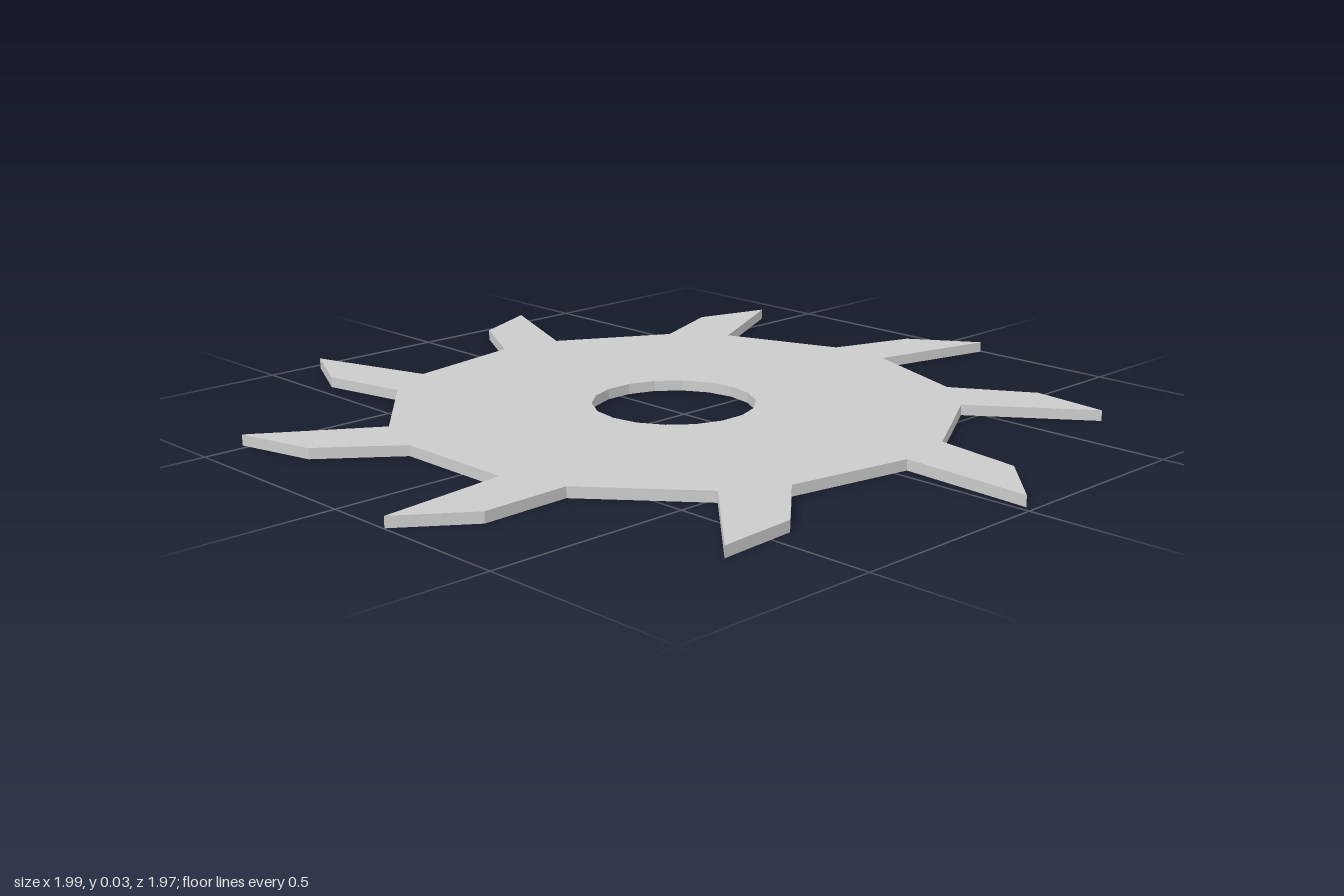
import * as THREE from 'three';

const TEETH = 9;
const THICKNESS = 0.026;
const HOLE_RADIUS = 0.197;
const HOLE_SIDES = 18;

// One tooth around the blade centre: leading root, shoulder, hooked tip, trailing root
const TOOTH = [[0.68, -0.08], [0.89, -0.01], [1.0, 0.155], [0.68, 0.08]];

export function createModel() {
  const group = new THREE.Group();
  group.name = 'circularBlade';

  // Outline: the tooth repeated around the disc, with straight valleys between
  const origin = new THREE.Vector2();
  const outline = [];
  for (let i = 0; i < TEETH; i++) {
    const angle = (i / TEETH) * Math.PI * 2;
    for (const [x, y] of TOOTH) {
      outline.push(new THREE.Vector2(x, y).rotateAround(origin, angle));
    }
  }
  const shape = new THREE.Shape(outline);

  // Faceted arbor hole
  const hole = [];
  for (let i = 0; i < HOLE_SIDES; i++) {
    const angle = -(i / HOLE_SIDES) * Math.PI * 2;
    hole.push(new THREE.Vector2(Math.cos(angle), Math.sin(angle)).multiplyScalar(HOLE_RADIUS));
  }
  shape.holes.push(new THREE.Path(hole));

  // Flat plate laid on the ground
  const geometry = new THREE.ExtrudeGeometry(shape, { depth: THICKNESS, bevelEnabled: false });
  geometry.rotateX(Math.PI / 2);
  geometry.translate(-0.005, THICKNESS, -0.03);

  const blade = new THREE.Mesh(
    geometry,
    new THREE.MeshStandardMaterial({ color: 0xcccccc, flatShading: true })
  );
  blade.name = 'toothedBlade';
  group.add(blade);
  return group;
}
